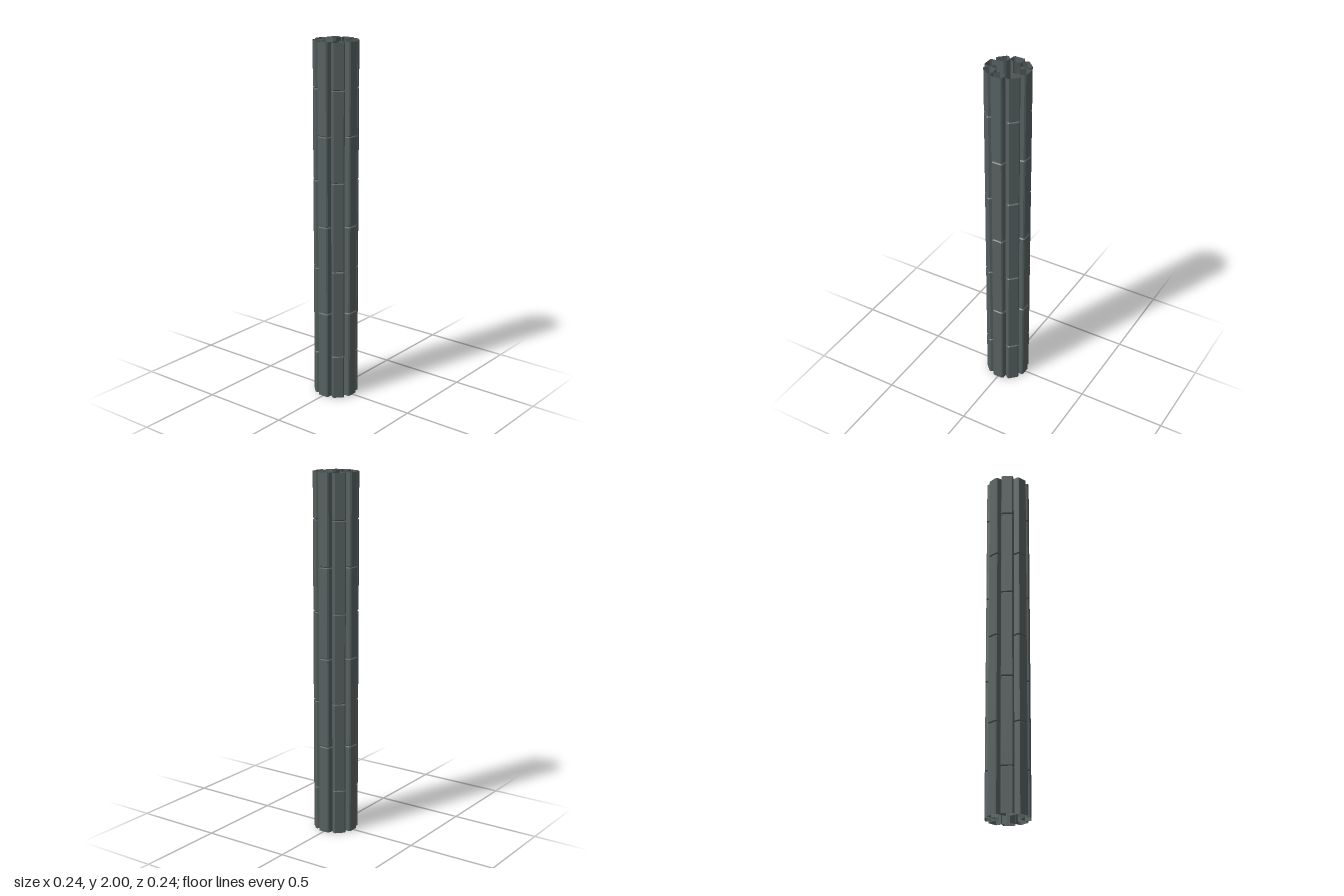
import * as THREE from 'three';

const HEIGHT = 2;
const BEVEL = 0.005;

// Half cross-sections of one open channel, [sideways, outward]; mirrored below
const mirror = (half) => [...half.map(([x, z]) => [-x, z]), ...half.slice().reverse()];
const OUTER = mirror([[0.039, 0.05], [0.0335, 0.113], [0.027, 0.12]]);
const INSET = mirror([[0.032, 0.05], [0.0272, 0.109], [0.0243, 0.113]]);

// Channel segment whose jointed ends are bevelled inwards
function segmentGeometry(y0, y1) {
  const rows = [];
  if (y0 > 0) rows.push([y0, INSET], [y0 + BEVEL, OUTER]);
  else rows.push([y0, OUTER]);
  if (y1 < HEIGHT) rows.push([y1 - BEVEL, OUTER], [y1, INSET]);
  else rows.push([y1, OUTER]);

  const positions = [];
  for (let r = 0; r < rows.length - 1; r++) {
    const corner = (row, i) => [rows[row][1][i][0], rows[row][0], rows[row][1][i][1]];
    for (let i = 0; i < OUTER.length - 1; i++) {
      const a = corner(r, i), b = corner(r, i + 1);
      const c = corner(r + 1, i + 1), d = corner(r + 1, i);
      positions.push(...a, ...b, ...c, ...a, ...c, ...d);
    }
  }
  const geometry = new THREE.BufferGeometry();
  geometry.setAttribute('position', new THREE.Float32BufferAttribute(positions, 3));
  geometry.computeVertexNormals();
  return geometry;
}

export function createModel() {
  const group = new THREE.Group();
  group.name = 'column';
  const material = new THREE.MeshStandardMaterial({
    color: 0x566060, flatShading: true, side: THREE.DoubleSide,
  });
  material.name = 'dark grey metal';

  // Joints alternate by half a segment between neighbouring channels
  const straightJoints = [0, 0.5, 1, 1.5, 2];
  const staggeredJoints = [0, 0.25, 0.75, 1.25, 1.75, 2];
  const toSegments = (joints) =>
    joints.slice(1).map((y, i) => segmentGeometry(joints[i], y));
  const sets = [toSegments(straightJoints), toSegments(staggeredJoints)];

  // Ring of eight channels
  for (let k = 0; k < 8; k++) {
    const channel = new THREE.Group();
    channel.name = 'channel' + (k + 1);
    channel.rotation.y = (k * Math.PI) / 4;
    sets[k % 2].forEach((geometry, i) => {
      const mesh = new THREE.Mesh(geometry, material);
      mesh.name = 'channelSegment' + (i + 1);
      channel.add(mesh);
    });
    group.add(channel);
  }
  return group;
}
